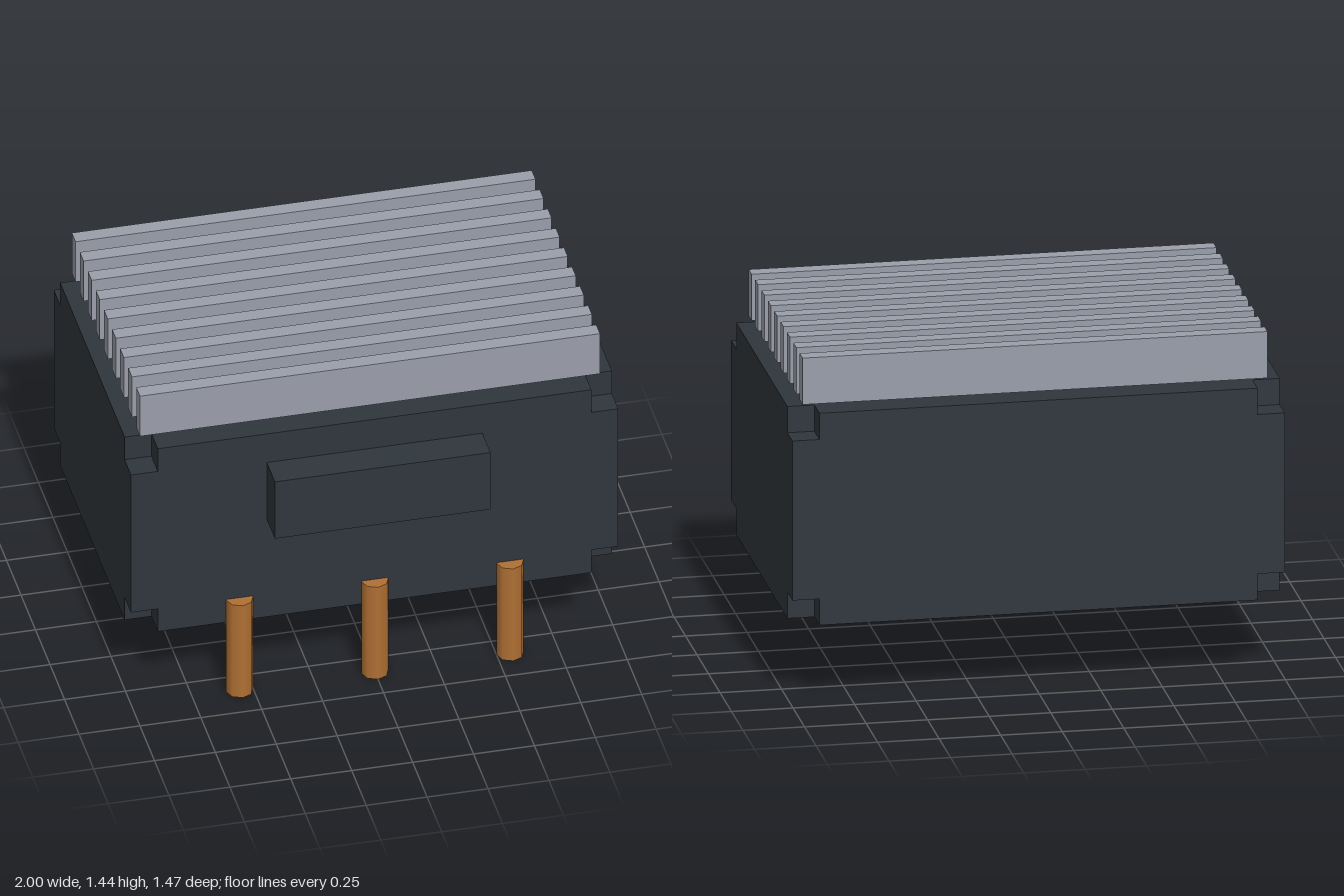
import * as THREE from 'three';

export function createModel() {
  const model = new THREE.Group();
  const material = (name, color) => {
    const m = new THREE.MeshStandardMaterial({ color });
    m.name = name;
    return m;
  };
  const casing = material('dark casing', 0x2f363c);
  const metal = material('fin metal', 0x9a9eaa);
  const copper = material('copper', 0xb07034);

  const add = (parent, name, geometry, mat, x, y, z) => {
    const mesh = new THREE.Mesh(geometry, mat);
    mesh.name = name;
    mesh.position.set(x, y, z);
    parent.add(mesh);
    return mesh;
  };

  // Casing: a block with a small cube notched out of each of its eight corners
  const halfX = 1, halfZ = 0.665, midZ = -0.07;
  const bottom = 0.336, top = 1.225, notch = 0.11;
  const body = new THREE.Group();
  body.name = 'casing';
  model.add(body);
  add(body, 'casingMiddle', new THREE.BoxGeometry(2 * halfX, top - bottom - 2 * notch, 2 * halfZ),
    casing, 0, (top + bottom) / 2, midZ);

  // Cross-shaped layers closing the top and bottom
  const ix = halfX - notch, iz = halfZ - notch;
  const outline = [
    [ix, -halfZ], [ix, -iz], [halfX, -iz], [halfX, iz], [ix, iz], [ix, halfZ],
    [-ix, halfZ], [-ix, iz], [-halfX, iz], [-halfX, -iz], [-ix, -iz], [-ix, -halfZ],
  ].map(([x, z]) => new THREE.Vector2(x, z));
  const layer = new THREE.ExtrudeGeometry(new THREE.Shape(outline), { depth: notch, bevelEnabled: false });
  layer.rotateX(-Math.PI / 2);
  add(body, 'casingBottom', layer, casing, 0, bottom, midZ);
  add(body, 'casingTop', layer, casing, 0, top - notch, midZ);

  // Raised plate block on the front
  add(model, 'frontBlock', new THREE.BoxGeometry(0.885, 0.276, 0.277), casing, 0, 0.948, 0.596);

  // Row of cooling fins above the casing
  const fins = new THREE.Group();
  fins.name = 'coolingFins';
  model.add(fins);
  const fin = new THREE.BoxGeometry(1.888, 0.195, 0.064);
  for (let i = 0; i < 9; i++) {
    add(fins, 'fin', fin, metal, 0, 1.338, -0.627 + i * 0.1388);
  }

  // Three contact pins along the lower front edge
  const pin = new THREE.CylinderGeometry(0.0555, 0.0555, 0.447, 8);
  for (const x of [-0.555, 0, 0.555]) add(model, 'pin', pin, copper, x, 0.2235, 0.598);

  return model;
}
